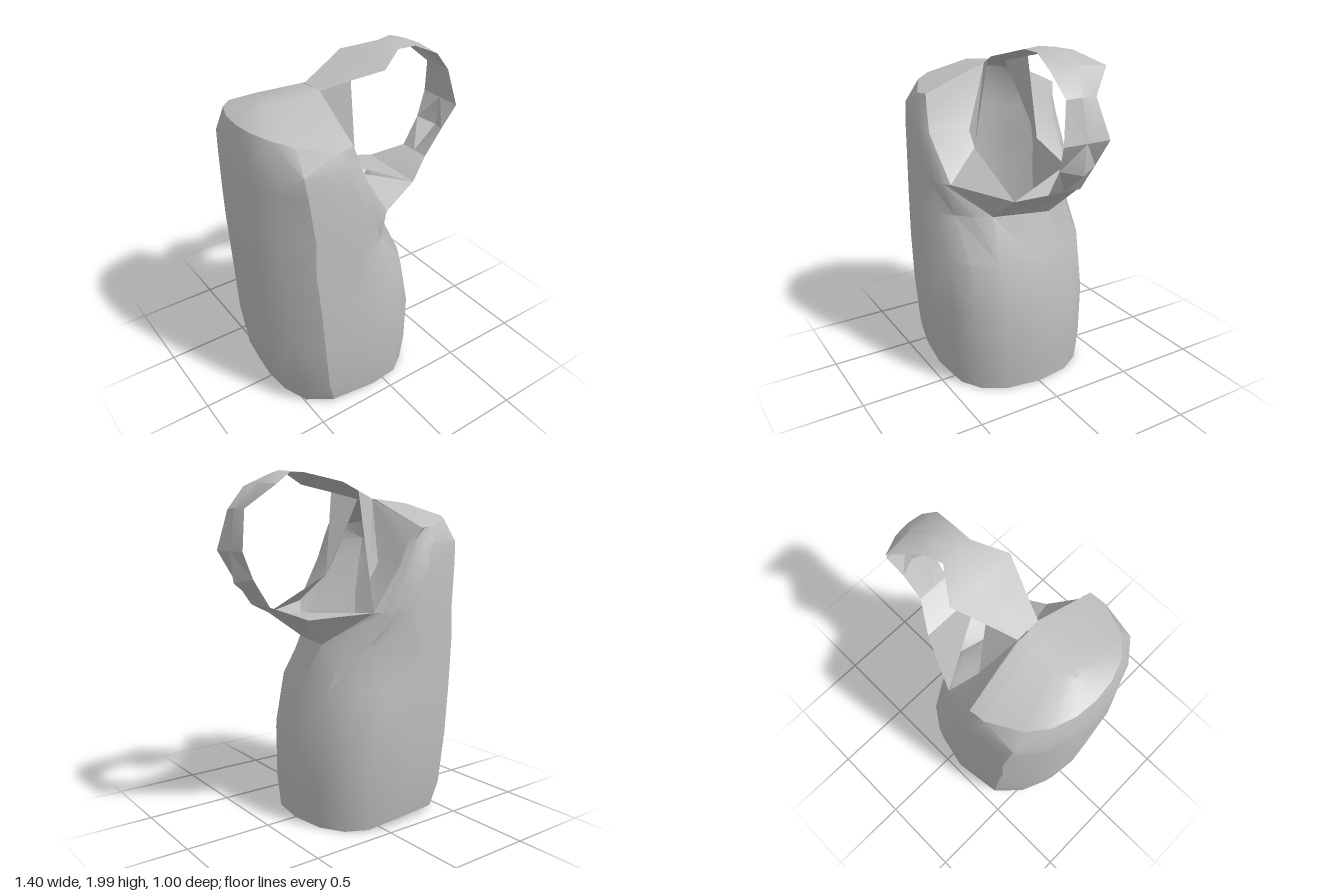
import * as THREE from 'three';
import { toCreasedNormals } from 'three/addons/utils/BufferGeometryUtils.js';

// Half outline of the body, from its +x end round the side to its -x end
const HALF = [[1, 0], [0.93, 0.45], [0.75, 0.73], [0.5, 0.9], [0.05, 1], [-0.55, 0.92], [-0.82, 0.65], [-0.96, 0.33], [-1, 0]];

// y, min x, max x, half depth, then (open levels only) the opening's front and back edges as [x, depth]
const LEVELS = [
  [0.01, -0.57, 0.31, 0.46],
  [0.2, -0.63, 0.33, 0.485],
  [0.51, -0.67, 0.33, 0.5],
  [0.8, -0.68, 0.265, 0.5],
  [1.05, -0.69, 0.2, 0.49, [0.12, 0.2], [0.2, 0.12]],
  [1.24, -0.7, 0.26, 0.49, [0, 0.4], [0.02, 0.36]],
  [1.5, -0.69, 0.1, 0.475, [-0.17, 0.44], [-0.15, 0.38]],
  [1.62, -0.685, 0.02, 0.46, [-0.21, 0.43], [-0.19, 0.39]],
  [1.77, -0.65, -0.05, 0.43, [-0.24, 0.42], [-0.25, 0.44]],
];
const TOP = LEVELS.length - 1;
const HEM = [0, 0, 0, 0.01, 0.05, 0.045, 0.005, 0.01, 0.02];

const lerp = THREE.MathUtils.lerp;

// One side of a level, given with positive z
function halfRing([y, x0, x1, d], edge, k) {
  const pts = HALF.map(([u, v]) => [(x0 + x1) / 2 + (u * (x1 - x0)) / 2, y, v * d]);
  if (edge) {
    // bowed run from the opening's edge to the widest point
    const corner = pts[4];
    for (let i = 0; i < 4; i++) {
      const t = i / 4, a = (t * Math.PI) / 2;
      pts[i] = [lerp(edge[0], corner[0], (t + 1 - Math.cos(a)) / 2), y, lerp(edge[1], corner[2], (t + Math.sin(a)) / 2)];
    }
  }
  // uneven hem and rounded shoulders
  if (k === 0) pts.forEach((p, i) => { p[1] += HEM[i]; });
  if (k === TOP) {
    pts.forEach((p, i) => {
      if (i > 4) p[2] *= 0.86;
      p[1] -= 0.08 * (p[2] / 0.45) ** 4;
    });
  }
  return pts;
}

const flip = ([x, y, z]) => [x, y, -z];
const fullRing = (front, back) => [...front, ...back.slice(0, -1).reverse().map(flip)];

// Surface through rows of points
function sheet(rows) {
  const out = [];
  for (let r = 0; r < rows.length - 1; r++) {
    for (let i = 0; i < rows[r].length - 1; i++) {
      const a = rows[r][i], b = rows[r][i + 1], c = rows[r + 1][i + 1], d = rows[r + 1][i];
      if ((r + i) % 2) out.push(a, d, b, b, d, c);
      else out.push(a, c, b, a, d, c);
    }
  }
  return out;
}

// Fan of triangles over one polygon
function fan(...p) {
  const out = [];
  for (let i = 1; i < p.length - 1; i++) out.push(p[0], p[i], p[i + 1]);
  return out;
}

export function createModel() {
  const group = new THREE.Group();
  const grey = new THREE.MeshStandardMaterial({ color: 0xbebebe, side: THREE.DoubleSide });
  grey.name = 'plain grey';

  function add(name, tris) {
    const g = new THREE.BufferGeometry();
    g.setAttribute('position', new THREE.Float32BufferAttribute(tris.flat(), 3));
    const mesh = new THREE.Mesh(toCreasedNormals(g, 0.5), grey);
    mesh.name = name;
    group.add(mesh);
  }

  // Hollow body, open below and towards the handle
  const fronts = LEVELS.map((l, k) => halfRing(l, l[4], k));
  const backs = LEVELS.map((l, k) => halfRing(l, l[5], k));
  const footF = fronts[4][0], footB = flip(backs[4][0]);
  add('body', [
    ...sheet(fronts.map((f, k) => fullRing(f, backs[k]))),
    // gusset closing the body under the shelf
    ...fan(fronts[3][0], footB, footF),
  ]);

  // Domed top
  const toCrown = ([x, , z]) => [-0.2 + (x + 0.24) * 0.8, 1.86 + (x + 0.24) * 0.06, z * 0.17];
  const toRidge = ([x, y]) => [x, y, 0];
  const rim = fullRing(fronts[TOP], backs[TOP]);
  const crown = rim.map(toCrown);
  add('top', sheet([rim, crown, crown.map(toRidge)]));

  // Ribbon handle: x, y, front z, back z, how far the edges bend inwards
  const path = [
    [-0.2, 1.86, 0.07, -0.07, 0], [-0.05, 1.9, 0.13, -0.13, 0], [0.11, 1.95, 0.2, -0.2, 0.01],
    [0.28, 2, 0.1, -0.08, 0.01], [0.4, 2, 0.1, -0.12, 0.015], [0.55, 1.93, 0.12, -0.22, 0.015],
    [0.66, 1.8, 0.1, -0.08, 0.01], [0.7, 1.58, 0.14, -0.14, 0], [0.68, 1.41, 0.11, -0.11, 0.06],
    [0.52, 1.28, 0.1, -0.1, 0], [0.35, 1.21, 0.2, -0.21, 0],
  ];
  const ribbon = path.map(([x, y, f, b, bend]) => {
    const toX = 0.3 - x, toY = 1.6 - y, s = bend / Math.hypot(toX, toY);
    const ex = x + toX * s, ey = y + toY * s;
    return [[ex, ey, f], [x, y, (f + b) / 2], [ex, ey, b]];
  });
  ribbon.push([footF, footF.map((v, i) => (v + footB[i]) / 2), footB]);
  add('handle', sheet(ribbon));

  // Facings round the opening
  const inner = [-0.13, 1.5, 0.21], low = [-0.07, 1.41, 0.21];
  const top = [-0.2, 1.86, 0.07], strap = [-0.05, 1.9, 0.13];
  const facing = ([sill, side, notch, shoulder]) => [
    ...fan(top, inner, side, notch, shoulder),
    ...fan(top, strap, low, inner),
    ...fan(inner, low, sill, side),
  ];
  const edgeOf = halves => halves.slice(5).map(h => h[0]);
  add('frontFacing', facing(edgeOf(fronts)));
  // reversed so the mirrored triangles keep their outward side
  add('backFacing', facing(edgeOf(backs)).map(flip).reverse());

  // Spout-like shelf joining the handle's lower end to the body
  const lipF = [0.35, 1.21, 0.2], lipB = [0.35, 1.21, -0.21];
  const sillF = fronts[5][0], sillB = flip(backs[5][0]);
  add('shelfTop', [...fan(low, sillF, lipF), ...fan(sillB, lipF, lipB)]);
  add('shelfUnderside', [...fan(sillF, footF, lipF), ...fan(sillB, lipB, footB)]);

  return group;
}
